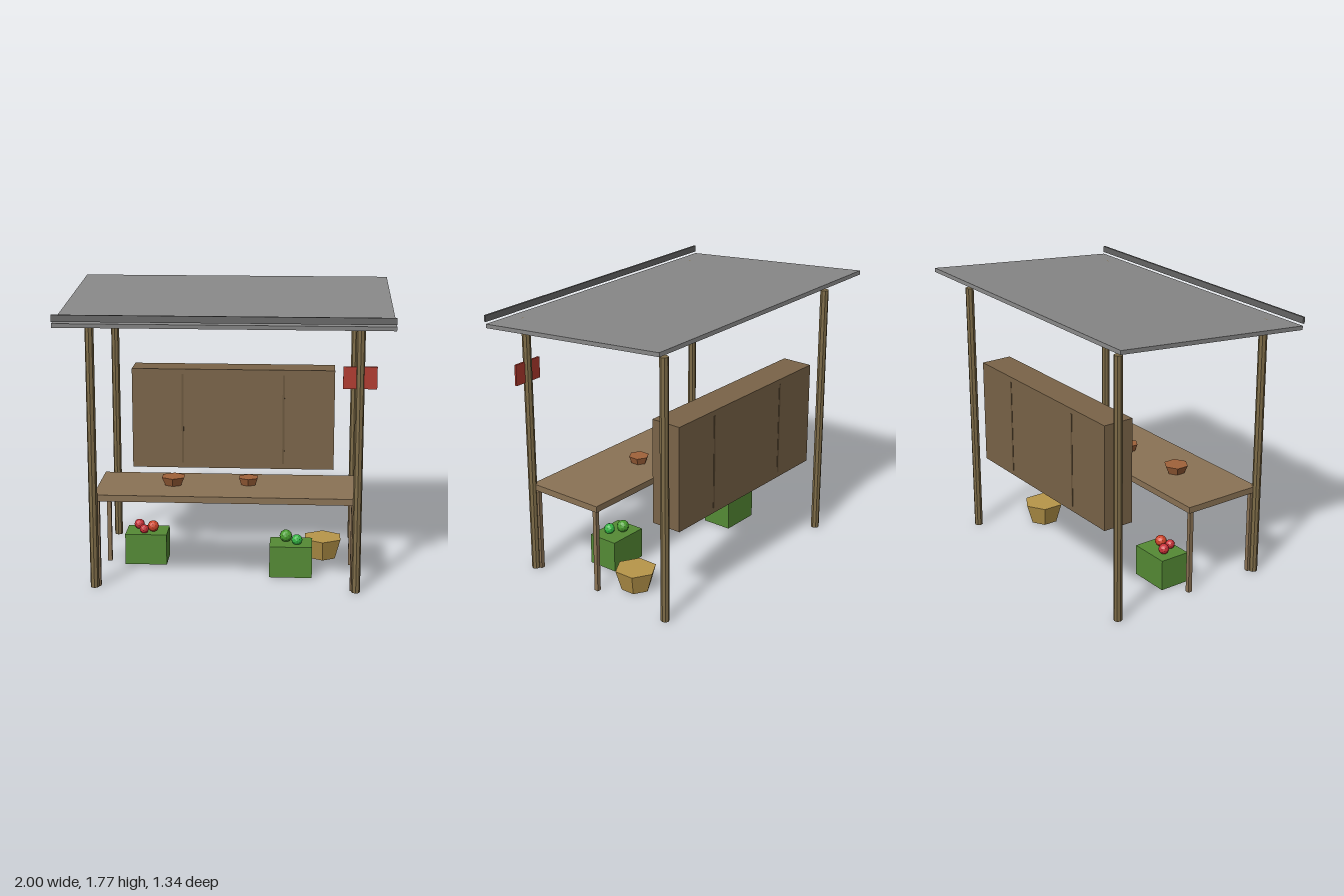
import * as THREE from 'three';

const mat = (color) => new THREE.MeshStandardMaterial({ color, flatShading: true });
const WOOD = mat(0x8b7355), POST = mat(0x7d6b47), CABINET = mat(0x7a6448), DIVIDER = mat(0x6a563c);
const ROOF = mat(0x888888), TRIM = mat(0x666666), SIGN = mat(0xb03a2e), CRATE = mat(0x558b35);
const BASKET = mat(0xb8964a), BOWL = mat(0xa0623a);

export function createModel() {
  const model = new THREE.Group();
  model.name = 'marketStall';

  const add = (name, geometry, material, x, y, z) => {
    const mesh = new THREE.Mesh(geometry, material);
    mesh.name = name;
    mesh.position.set(x, y, z);
    model.add(mesh);
    return mesh;
  };
  const box = (name, material, w, h, d, x, y, z) =>
    add(name, new THREE.BoxGeometry(w, h, d), material, x, y, z);
  // Tapered vessel standing on height y
  const vessel = (name, material, top, bottom, h, x, y, z) =>
    add(name, new THREE.CylinderGeometry(top, bottom, h, 6), material, x, y + h / 2, z);

  // Four corner posts and four counter legs
  for (const [side, s] of [['left', 1], ['right', -1]]) {
    for (const [end, z] of [['Front', 0.529], ['Back', -0.537]]) {
      add(side + end + 'Post', new THREE.CylinderGeometry(0.0267, 0.0267, 1.667, 8), POST, s * 0.8, 0.8335, z);
    }
    for (const [end, z] of [['Front', 0.502], ['Back', 0.022]]) {
      box(side + end + 'CounterLeg', WOOD, 0.027, 0.55, 0.027, s * 0.778, 0.275, z);
    }
  }

  // Sloping roof, higher at the back, with a loose strip along the front edge
  box('roof', ROOF, 2, 0.025, 1.333, 0, 1.703, -0.006).rotation.x = 0.0873;
  box('roofTrim', TRIM, 2, 0.04, 0.0133, 0, 1.69, 0.665);

  // Counter top
  box('counterTop', WOOD, 1.6, 0.04, 0.533, 0, 0.567, 0.262);

  // Hanging back cabinet with two thin dividers
  box('backCabinet', CABINET, 1.333, 0.667, 0.2, 0, 0.867, -0.437);
  for (const x of [-0.333, 0.333]) {
    box('cabinetDivider', DIVIDER, 0.0133, 0.6, 0.205, x, 0.867, -0.437);
  }

  // Sign on the left front post
  box('signBoard', SIGN, 0.2, 0.133, 0.0133, 0.8, 1.333, 0.533);

  // Bowls on the counter and a basket on the ground
  vessel('largeBowl', BOWL, 0.08, 0.056, 0.053, -0.335, 0.587, 0.26);
  vessel('smallBowl', BOWL, 0.0667, 0.05, 0.046, 0.131, 0.587, 0.228);
  vessel('basket', BASKET, 0.133, 0.0933, 0.133, 0.6, 0, -0.138);

  // Crates
  box('rightCrate', CRATE, 0.267, 0.2, 0.2, -0.535, 0.1, -0.003);
  box('leftCrate', CRATE, 0.267, 0.2, 0.2, 0.399, 0.1, 0.196);

  // Fruit: colour, radius, x, y, z
  const fruit = [
    [0xc93038, 0.034, -0.59, 0.232, -0.03],
    [0xc93038, 0.03, -0.55, 0.224, 0.052],
    [0xd0452a, 0.037, -0.495, 0.235, 0.02],
    [0x4ba030, 0.04, 0.366, 0.235, 0.169],
    [0x35b845, 0.035, 0.436, 0.227, 0.222],
  ];
  for (const [color, r, x, y, z] of fruit) {
    add('fruit', new THREE.IcosahedronGeometry(r, 1), mat(color), x, y, z);
  }

  return model;
}
